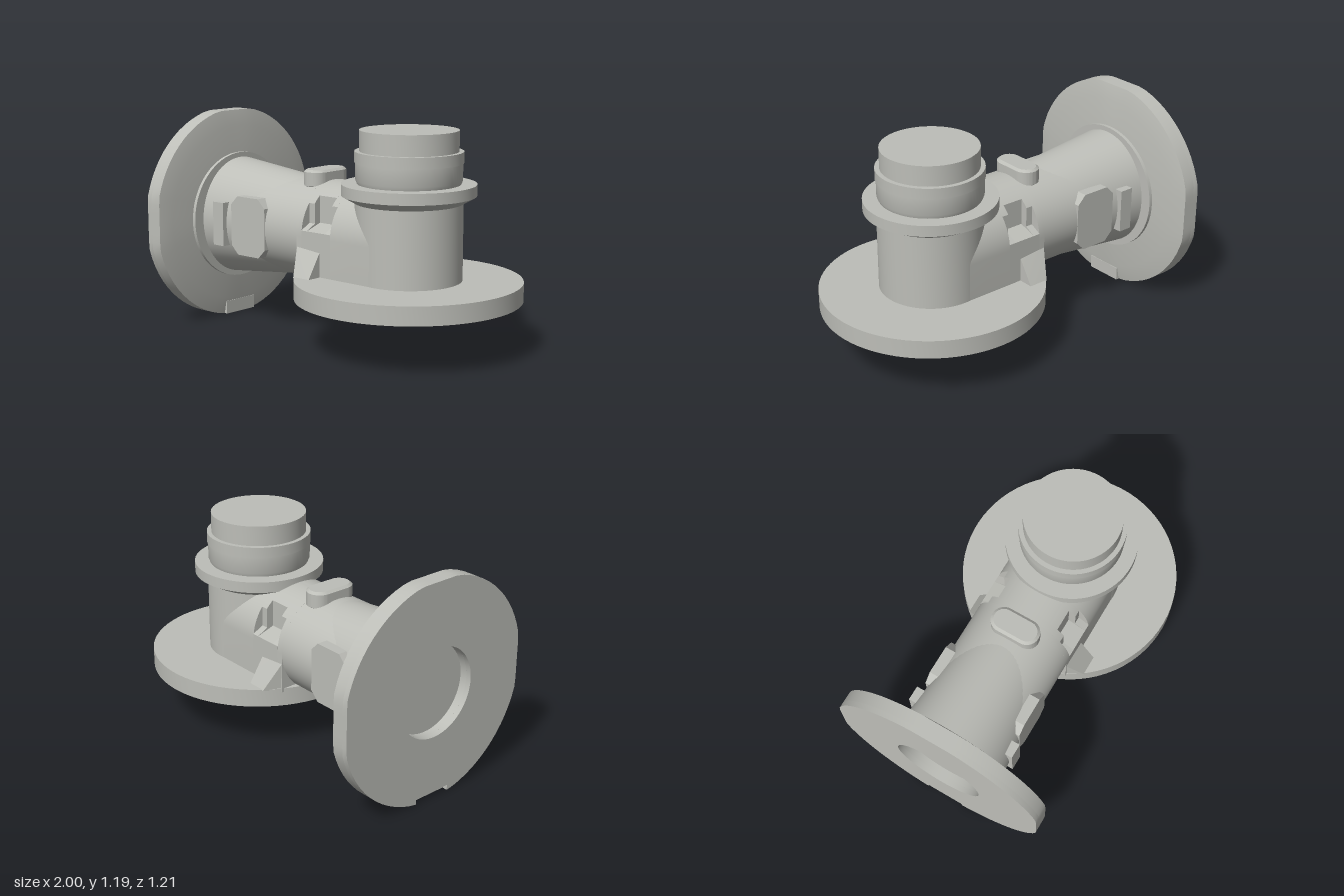
import * as THREE from 'three';
import { toCreasedNormals } from 'three/addons/utils/BufferGeometryUtils.js';
import { ConvexGeometry } from 'three/addons/geometries/ConvexGeometry.js';

const PIPE_Y = 0.585, PIPE_RY = 0.275, PIPE_RZ = 0.283;
const FLANGE_Y = 0.595, POST_X = 0.39;

export function createModel() {
  const model = new THREE.Group();
  model.name = 'pipeElbow';
  const metal = new THREE.MeshStandardMaterial({ color: 0xbdbeb8 });
  metal.name = 'castGrey';

  const add = (name, geometry, x = 0, y = 0, z = 0) => {
    const mesh = new THREE.Mesh(toCreasedNormals(geometry, 0.45), metal);
    mesh.name = name;
    mesh.position.set(x, y, z);
    model.add(mesh);
    return mesh;
  };
  const lathe = (profile) =>
    new THREE.LatheGeometry(profile.map(([r, h]) => new THREE.Vector2(r, h)), 72);
  const shapeOf = (points) => new THREE.Shape(points.map(([x, y]) => new THREE.Vector2(x, y)));
  const extrude = (shape, depth) =>
    new THREE.ExtrudeGeometry(shape, { depth, bevelEnabled: false, curveSegments: 48 });
  const box = (name, x0, x1, y0, y1, z0, z1) =>
    add(name, new THREE.BoxGeometry(x1 - x0, y1 - y0, z1 - z0),
      (x0 + x1) / 2, (y0 + y1) / 2, (z0 + z1) / 2);

  // Round base with a shallow bore underneath
  add('baseDisc', lathe([[0, 0.33], [0.25, 0.33], [0.25, 0.28], [0.605, 0.28],
    [0.605, 0.38], [0, 0.38]]), POST_X);

  // Upright post, collar and stepped neck
  add('post', lathe([[0, 0.36], [0.285, 0.36], [0.285, 0.8], [0, 0.8]]), POST_X);
  add('collar', lathe([[0, 0.79], [0.285, 0.79], [0.355, 0.83], [0.355, 0.89], [0, 0.89]]), POST_X);
  add('neck', lathe([[0, 0.88], [0.268, 0.88], [0.28, 0.91], [0.28, 1.0], [0.285, 1.0],
    [0.285, 1.06], [0.26, 1.06], [0.26, 1.17], [0, 1.17]]), POST_X);

  // End flange: a turned disc trimmed flat on four sides
  const clampRim = (v) => THREE.MathUtils.clamp(v, -0.595, 0.595);
  const clampSide = (v) => THREE.MathUtils.clamp(v, -0.59, 0.59);
  const flange = lathe([[0, -0.93], [0.245, -0.93], [0.245, -0.97], [0.607, -0.97],
    [0.607, -0.905], [0.51, -0.885], [0, -0.885]]).rotateZ(-Math.PI / 2);
  const p = flange.attributes.position;
  for (let i = 0; i < p.count; i++) {
    p.setY(i, clampRim(p.getY(i)));
    p.setZ(i, clampSide(p.getZ(i)));
  }
  add('flange', flange, 0, FLANGE_Y);

  // Back face of the flange, with a bore and a key notch at the bottom
  const rim = [];
  for (let i = 0; i < 72; i++) {
    const a = -Math.PI / 2 + (i / 72) * Math.PI * 2;
    const x = clampSide(0.607 * Math.cos(a)), y = clampRim(0.607 * Math.sin(a));
    if (y > 0 || Math.abs(x) > 0.112) rim.push([x, y]);
  }
  rim.push([-0.11, -0.595], [-0.11, -0.565], [0.11, -0.565], [0.11, -0.595]);
  const backShape = shapeOf(rim);
  backShape.holes.push(new THREE.Path().absarc(0, 0, 0.245, 0, Math.PI * 2, true));
  add('flangeBack', extrude(backShape, 0.03).rotateY(Math.PI / 2), -1, FLANGE_Y);
  box('flangeKey', -0.92, -0.885, 0, 0.075, -0.11, 0.11);

  // Ring between the flange and the pipe
  add('pipeRing', lathe([[0, -0.89], [0.362, -0.89], [0.362, -0.865], [0, -0.865]])
    .rotateZ(-Math.PI / 2), 0, PIPE_Y);

  // Oval pipe, and a flared sleeve that tapers into it
  const ovalTube = (x0, ry0, rz0, x1, ry1, rz1) => {
    const g = new THREE.CylinderGeometry(1, 1, 1, 72, 1).rotateZ(-Math.PI / 2);
    const q = g.attributes.position;
    for (let i = 0; i < q.count; i++) {
      const end = q.getX(i) > 0;
      q.setXYZ(i, end ? x1 : x0, q.getY(i) * (end ? ry1 : ry0), q.getZ(i) * (end ? rz1 : rz0));
    }
    return g;
  };
  add('pipe', ovalTube(-0.87, PIPE_RY, PIPE_RZ, -0.14, PIPE_RY, PIPE_RZ), 0, PIPE_Y);
  add('pipeFlare', ovalTube(-0.87, 0.335, 0.3, -0.29, 0.272, 0.255), 0, PIPE_Y);

  // Arched joint between pipe and post; sections with a pocket have a cut above each side
  const jointSection = (name, x0, x1, wall) => {
    const half = [[PIPE_RZ, 0.36], [PIPE_RZ, wall ? 0.617 : PIPE_Y]];
    let start = 0;
    if (wall) {
      start = Math.acos(wall / PIPE_RZ);
      half.push([wall, 0.65]);
    }
    for (let i = 0; i <= 20; i++) {
      const a = start + (Math.PI / 2 - start) * (i / 20);
      half.push([PIPE_RZ * Math.cos(a), PIPE_Y + PIPE_RY * Math.sin(a)]);
    }
    const mirrored = half.slice(0, -1).reverse().map(([z, y]) => [-z, y]);
    add(name, extrude(shapeOf([...half, ...mirrored]), x1 - x0).rotateY(Math.PI / 2), x0);
  };
  jointSection('jointInner', -0.15, -0.115, 0);
  jointSection('pocketEdge', -0.115, -0.075, 0.22);
  jointSection('pocket', -0.075, 0.05, 0.18);
  jointSection('pocketEdge', 0.05, 0.09, 0.22);
  jointSection('jointOuter', 0.09, POST_X, 0);

  // Flat pads and small lugs on both sides of the pipe
  const c = 0.05;
  const pad = shapeOf([[-0.65 + c, 0.42], [-0.39 - c, 0.42], [-0.39, 0.42 + c], [-0.39, 0.75 - c],
    [-0.39 - c, 0.75], [-0.65 + c, 0.75], [-0.65, 0.75 - c], [-0.65, 0.42 + c]]);
  add('sidePads', extrude(pad, 0.572), 0, 0, -0.286);
  box('sideLugs', -0.77, -0.69, 0.46, 0.705, -0.312, 0.312);

  // Wedge gussets standing on the base
  for (const s of [1, -1]) {
    const corners = [[-0.15, 0.53, 0.28], [0.015, 0.515, 0.28], [-0.14, 0.37, 0.28],
      [0.015, 0.37, 0.28], [-0.095, 0.375, 0.37], [0.015, 0.375, 0.37]];
    add(s > 0 ? 'gussetFront' : 'gussetBack',
      new ConvexGeometry(corners.map(([x, y, z]) => new THREE.Vector3(x, y, z * s))));
  }

  // Rounded boss on top of the pipe
  const boss = new THREE.Shape();
  boss.absarc(0, 0.068, 0.055, 0, Math.PI, false);
  boss.absarc(0, -0.068, 0.055, Math.PI, Math.PI * 2, false);
  add('topBoss', new THREE.ExtrudeGeometry(boss, { depth: 0.075, bevelEnabled: true,
    bevelThickness: 0.012, bevelSize: 0.015, bevelSegments: 1, curveSegments: 16 })
    .rotateX(-Math.PI / 2), -0.2, 0.83, 0);

  return model;
}
